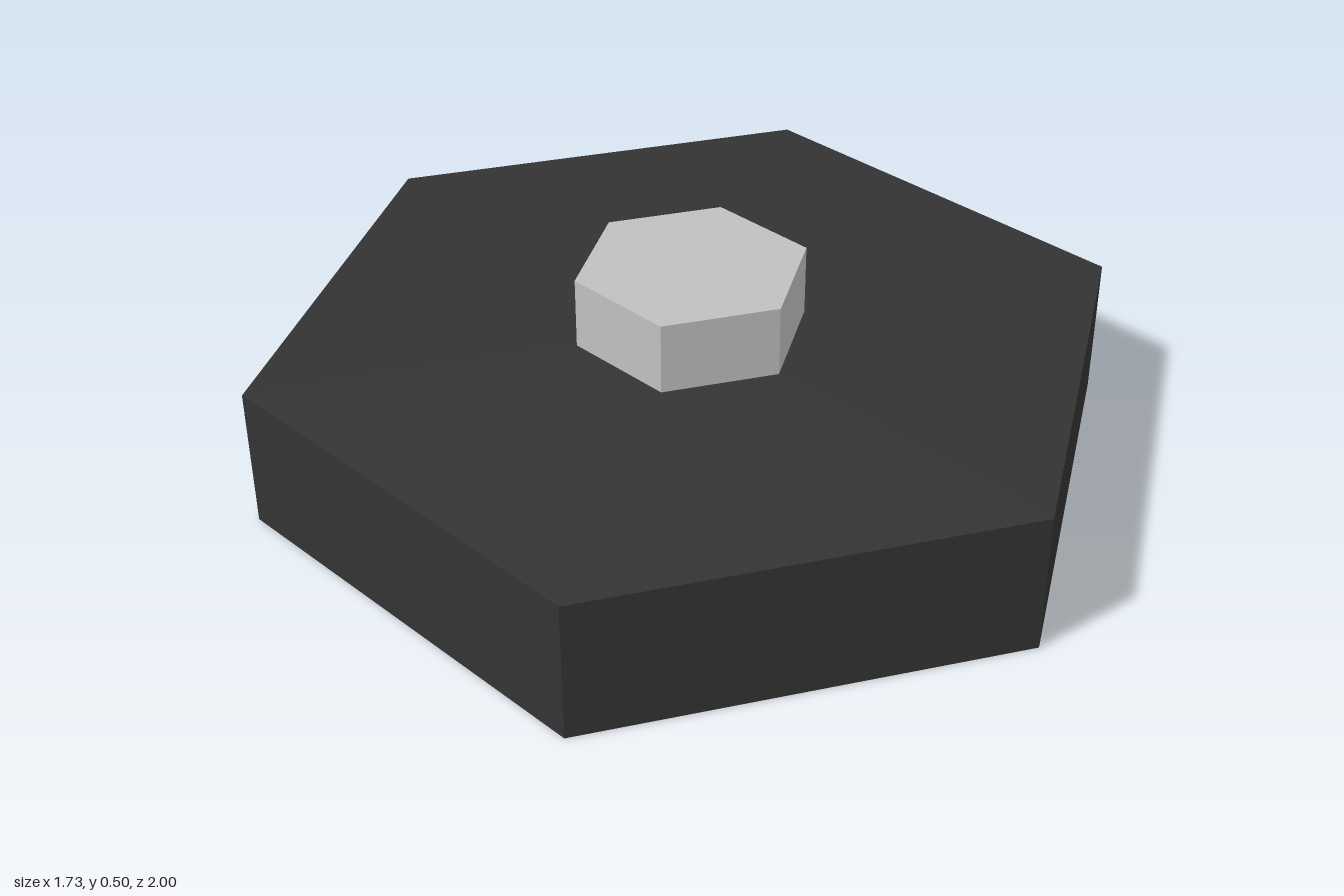
import * as THREE from 'three';

const dark = new THREE.MeshStandardMaterial({ color: 0x333333 });
dark.name = 'dark grey';
const light = new THREE.MeshStandardMaterial({ color: 0xc0c0c0 });
light.name = 'light grey';
dark.flatShading = light.flatShading = true;

// Six-sided prism with one corner facing +z, standing on the given height
function hexPrism(name, radius, bottom, top, material) {
  const geometry = new THREE.CylinderGeometry(radius, radius, top - bottom, 6);
  const mesh = new THREE.Mesh(geometry, material);
  mesh.name = name;
  mesh.position.y = (bottom + top) / 2;
  return mesh;
}

export function createModel() {
  const model = new THREE.Group();
  model.name = 'hexagonalBaseWithKnob';
  model.add(
    hexPrism('base', 1, 0, 0.333, dark), // wide slab
    hexPrism('knob', 0.265, 0.333, 0.5, light) // small centre block on top
  );
  return model;
}
